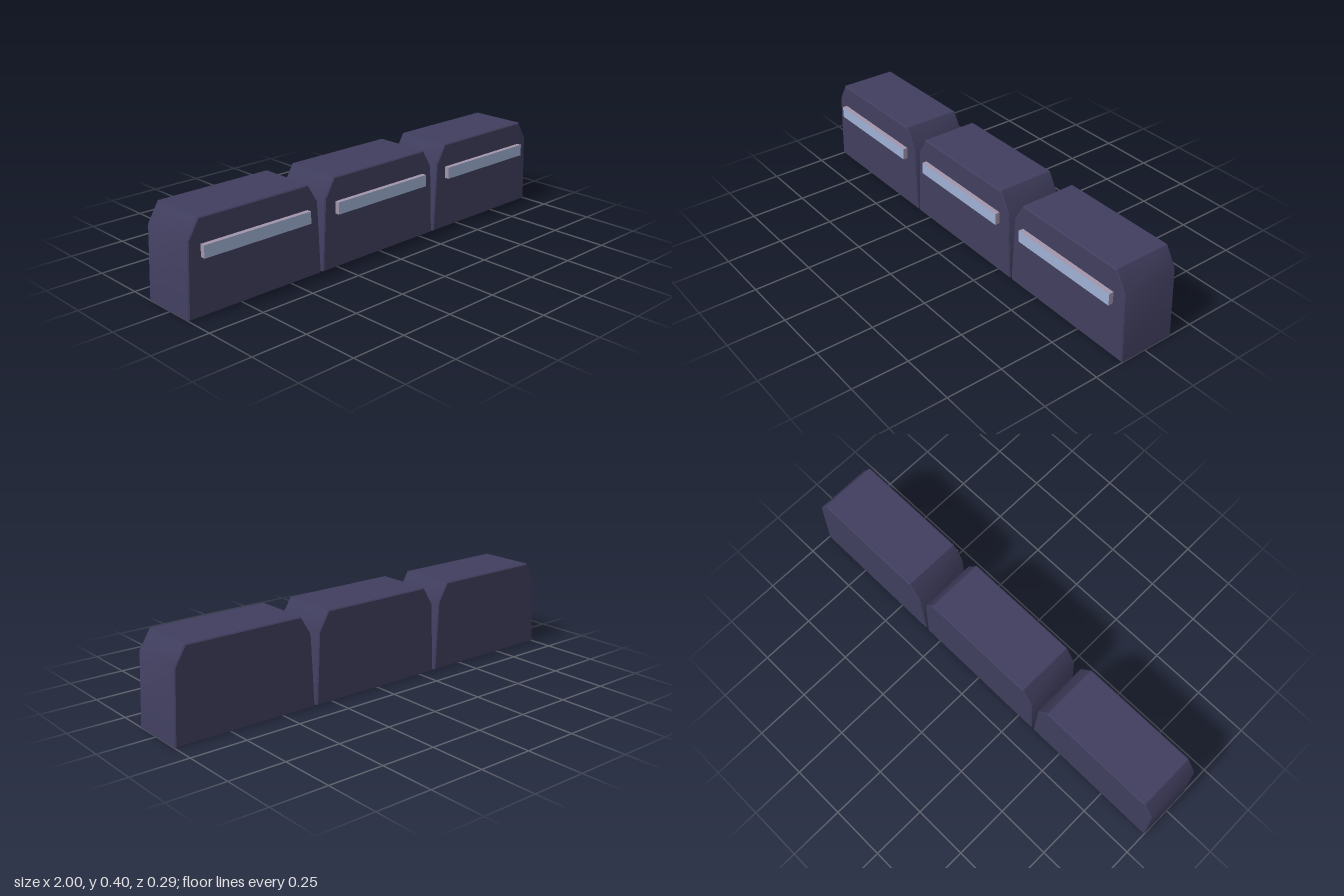
import * as THREE from 'three';
import { toCreasedNormals } from 'three/addons/utils/BufferGeometryUtils.js';

const BACK = -0.143, FRONT = 0.122, BEVEL = 0.005;

function material(name, color) {
  const m = new THREE.MeshStandardMaterial({ color });
  m.name = name;
  return m;
}

// Tapered block with chamfered shoulders, extruded from back to front
function bodyGeometry() {
  const half = [[0.33, 0], [0.315, 0.315], [0.265, 0.398]];
  const outline = [
    ...half.map(([x, y]) => new THREE.Vector2(x, y)),
    ...half.map(([x, y]) => new THREE.Vector2(-x, y)).reverse(),
  ];
  const geometry = new THREE.ExtrudeGeometry(new THREE.Shape(outline), {
    depth: FRONT - BACK - 2 * BEVEL,
    bevelThickness: BEVEL,
    bevelSize: BEVEL,
    bevelOffset: -BEVEL,
    bevelSegments: 1,
  });
  geometry.translate(0, 0, BACK + BEVEL);
  return toCreasedNormals(geometry, 0.6);
}

export function createModel() {
  const shell = material('dark indigo', 0x403e5e);
  const glass = material('pale blue', 0x9fb0d3);
  const trim = material('mauve', 0xa294aa);

  const bodyGeo = bodyGeometry();
  const stripGeo = new THREE.BoxGeometry(0.52, 0.053, 0.023);
  // Only the front face (+z) of the strip is pale blue
  const stripMaterials = [trim, trim, trim, trim, glass, trim];

  const model = new THREE.Group();
  model.name = 'segmentRow';
  for (let i = -1; i <= 1; i++) {
    const segment = new THREE.Group();
    segment.name = 'segment';
    segment.position.x = i * 0.67;

    const body = new THREE.Mesh(bodyGeo, shell);
    body.name = 'body';

    const strip = new THREE.Mesh(stripGeo, stripMaterials);
    strip.name = 'frontStrip';
    strip.position.set(0, 0.267, FRONT + 0.0105);

    segment.add(body, strip);
    model.add(segment);
  }
  return model;
}
